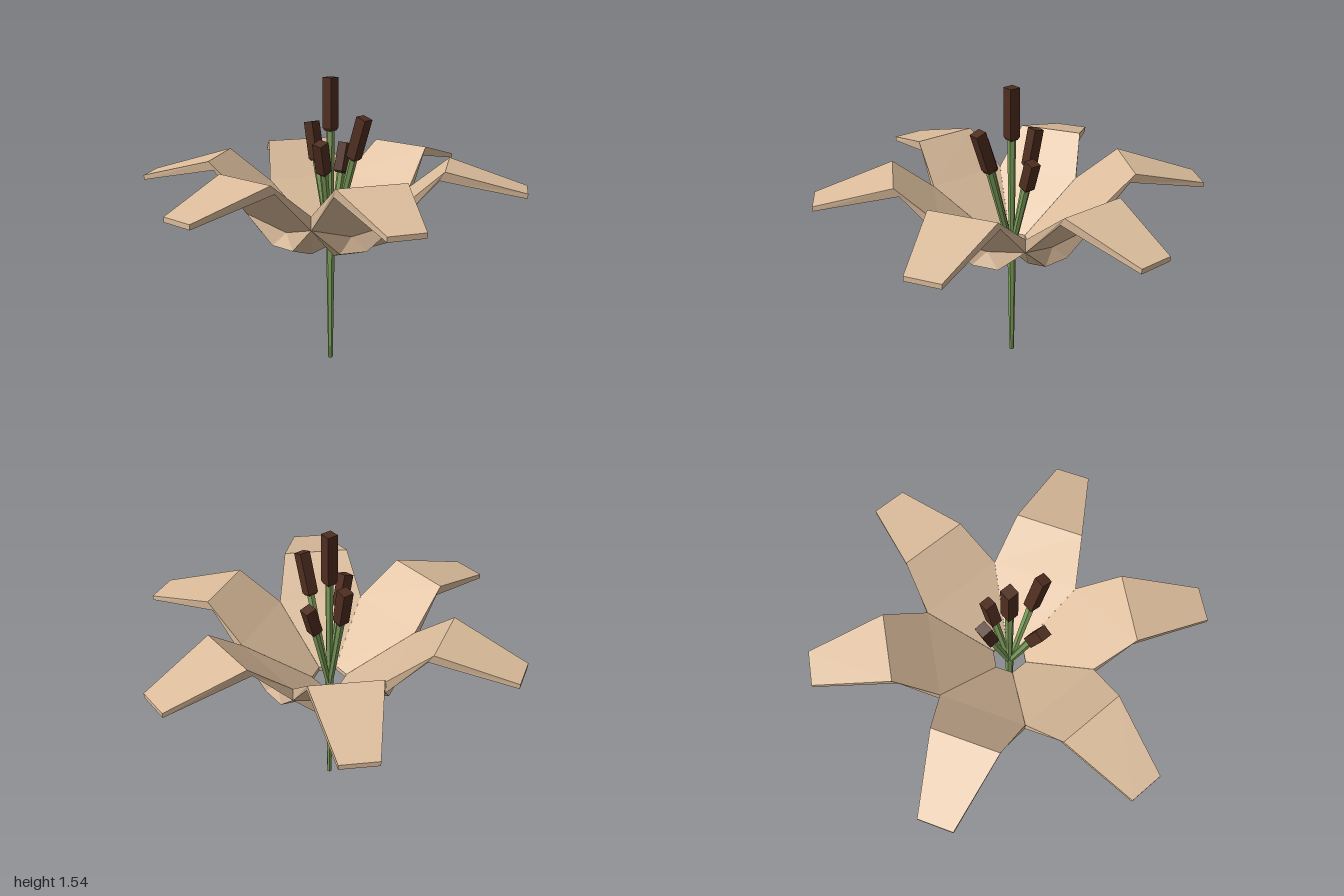
import * as THREE from 'three';

const mat = (color) => new THREE.MeshStandardMaterial({ color, flatShading: true, side: THREE.DoubleSide });
const petalMat = mat(0xdcbd9c);
const stemMat = mat(0x7f9f5c);
const antherMat = mat(0x4f2e20);

// One petal pointing along +z; each named point is mirrored to the right (r) and left (l)
function petalGeometry() {
  const half = {
    tip: [0.09, 1.01, 1.0], tipU: [0.09, 0.985, 1.0],
    fold: [0.175, 1.12, 0.6], foldU: [0.175, 1.075, 0.575],
    notch: [0.225, 0.94, 0.39], notchU: [0.225, 0.87, 0.39],
    inner: [0.046, 0.7, 0.08], innerU: [0.046, 0.675, 0.08],
    foot: [0.07, 0.725, 0.36], base: [0.05, 0.665, 0.2],
  };
  const r = {}, l = {};
  for (const k in half) {
    r[k] = half[k];
    l[k] = [-half[k][0], half[k][1], half[k][2]];
  }
  const mid = [0, 0.8, 0.33];
  const pos = [];
  const face = (...p) => {
    for (let i = 1; i < p.length - 1; i++) pos.push(...p[0], ...p[i], ...p[i + 1]);
  };
  const mirrored = (f) => {
    face(...f(r));
    face(...f(l).reverse());
  };

  // upper surface
  face(l.tip, r.tip, r.fold, l.fold);
  face(l.fold, r.fold, r.notch, l.notch);
  face(l.notch, r.notch, r.inner, l.inner);
  // tip edge and inner edge
  face(l.tipU, r.tipU, r.tip, l.tip);
  face(r.innerU, l.innerU, l.inner, r.inner);
  // underside
  face(l.foldU, r.foldU, r.tipU, l.tipU);
  face(mid, r.notchU, r.foldU, l.foldU, l.notchU);
  face(mid, l.foot, r.foot);
  face(l.foot, l.base, r.base, r.foot);
  face(l.base, l.innerU, r.innerU, r.base);
  // side edges and the faceted swelling at the base
  mirrored((s) => [s.tipU, s.foldU, s.fold, s.tip]);
  mirrored((s) => [s.foldU, s.notchU, s.notch, s.fold]);
  mirrored((s) => [mid, s.foot, s.notchU]);
  mirrored((s) => [s.foot, s.base, s.notchU]);
  mirrored((s) => [s.base, s.innerU, s.notchU]);

  const geo = new THREE.BufferGeometry();
  geo.setAttribute('position', new THREE.Float32BufferAttribute(pos, 3));
  geo.computeVertexNormals();
  return geo;
}

// Tapered prism between two points
function rod(name, from, to, r0, r1, sides, material) {
  const a = new THREE.Vector3(...from), b = new THREE.Vector3(...to);
  const dir = b.clone().sub(a);
  const geo = new THREE.CylinderGeometry(r1, r0, dir.length(), sides);
  if (sides === 4) geo.rotateY(Math.PI / 4);
  const mesh = new THREE.Mesh(geo, material);
  mesh.name = name;
  mesh.position.copy(a).add(b).multiplyScalar(0.5);
  mesh.quaternion.setFromUnitVectors(new THREE.Vector3(0, 1, 0), dir.normalize());
  return mesh;
}

export function createModel() {
  const flower = new THREE.Group();
  flower.name = 'flower';

  // Six petals around the centre
  const petals = new THREE.Group();
  petals.name = 'petals';
  const geo = petalGeometry();
  for (let i = 0; i < 6; i++) {
    const petal = new THREE.Mesh(geo, petalMat);
    petal.name = 'petal';
    petal.rotation.y = (i * Math.PI) / 3;
    petals.add(petal);
  }
  flower.add(petals);

  // Stem
  flower.add(rod('stem', [0, 0, 0], [0, 0.7, 0], 0.013, 0.024, 6, stemMat));

  // Stamens: base and top of each anther
  const anthers = [
    [[0, 1.27, 0], [0, 1.54, 0]],
    [[0.145, 1.14, -0.01], [0.215, 1.355, -0.01]],
    [[-0.105, 1.1, -0.01], [-0.145, 1.3, -0.015]],
    [[-0.015, 1.03, -0.1], [-0.018, 1.185, -0.145]],
    [[0.05, 1.07, 0.105], [0.075, 1.235, 0.16]],
  ];
  for (const [low, high] of anthers) {
    const stamen = new THREE.Group();
    stamen.name = 'stamen';
    stamen.add(rod('filament', [low[0] * 0.08, 0.67, low[2] * 0.08], low, 0.016, 0.022, 6, stemMat));
    const neck = low.map((v, i) => v + (high[i] - v) * 0.06);
    stamen.add(rod('antherBase', low, neck, 0.03, 0.041, 4, antherMat));
    stamen.add(rod('anther', neck, high, 0.041, 0.041, 4, antherMat));
    flower.add(stamen);
  }
  return flower;
}
